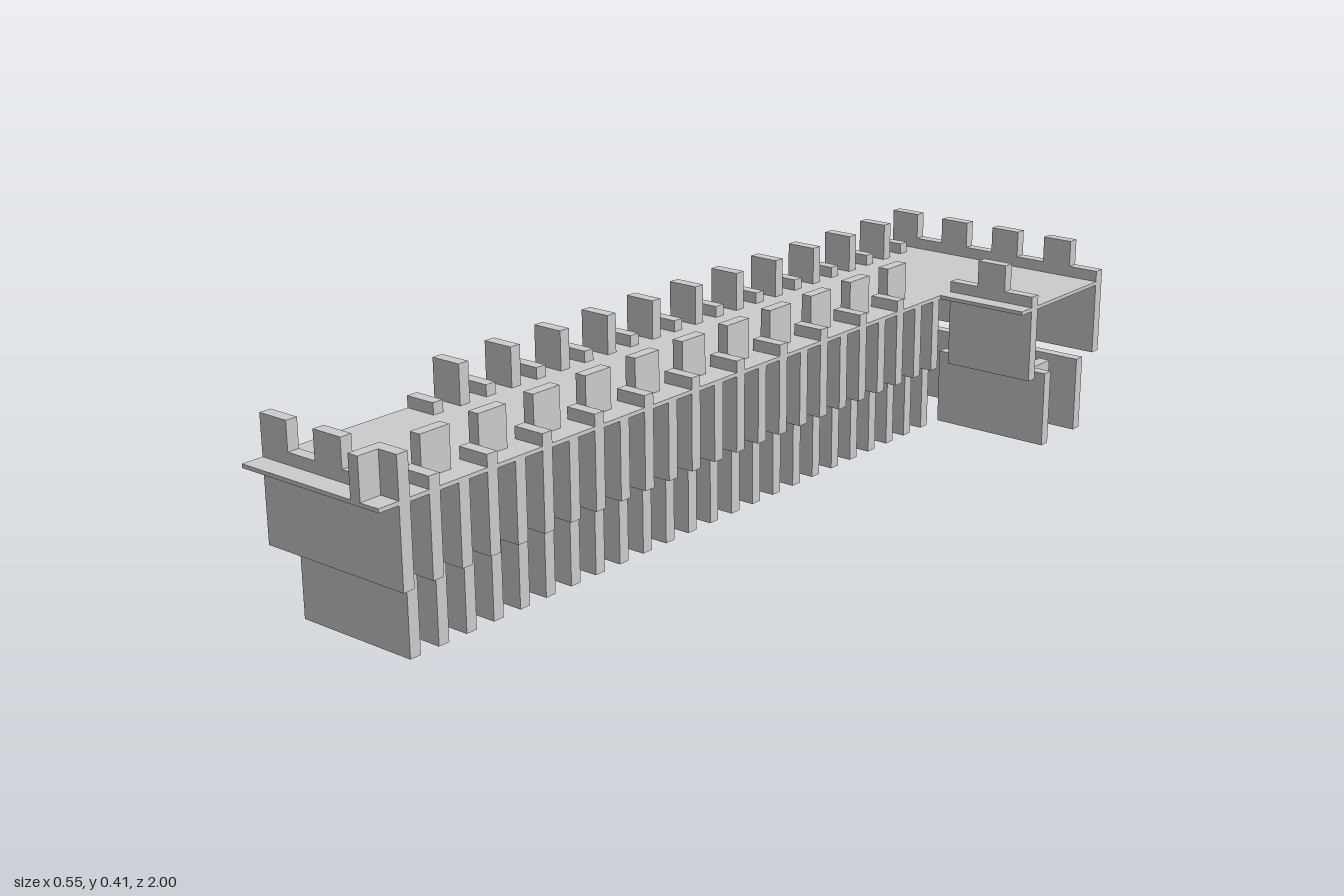
import * as THREE from 'three';

const U = 0.0692;          // width of one stone unit
const T = 0.025;           // slab thickness
const L = -0.277, R = 0.277, WALK = 0.068;
const MID = 0.167, DECK = 0.325, FLOOR = 0.333, LOW = 0.357, TOP = 0.415;
const slot = (k) => 0.873 - 0.0689 * k;   // z of the k-th slab along the wall

export function createModel() {
  const group = new THREE.Group();
  const mat = new THREE.MeshStandardMaterial({ color: 0xcccccc, flatShading: true });

  const add = (name, geo) => {
    const mesh = new THREE.Mesh(geo, mat);
    mesh.name = name;
    group.add(mesh);
    return mesh;
  };
  // box given by its limits
  const box = (name, x0, x1, y0, y1, z0, z1) =>
    add(name, new THREE.BoxGeometry(x1 - x0, y1 - y0, z1 - z0))
      .position.set((x0 + x1) / 2, (y0 + y1) / 2, (z0 + z1) / 2);
  // slab standing across the wall at slot k
  const slab = (name, x0, x1, y0, y1, k) =>
    box(name, x0, x1, y0, y1, slot(k) - T / 2, slot(k) + T / 2);
  // battlement panel, merlons given by their left edges
  const battlement = (name, x0, x1, merlons, k) => {
    const s = new THREE.Shape();
    s.moveTo(x0, MID);
    s.lineTo(x0, LOW);
    for (const m of merlons) {
      const end = Math.min(m + U, x1);
      s.lineTo(m, LOW);
      s.lineTo(m, TOP);
      s.lineTo(end, TOP);
      s.lineTo(end, LOW);
    }
    s.lineTo(x1, LOW);
    s.lineTo(x1, MID);
    add(name, new THREE.ExtrudeGeometry(s, { depth: T, bevelEnabled: false }))
      .position.z = slot(k) - T / 2;
  };

  // L-shaped walkway
  const deck = new THREE.Shape([[L, -1], [WALK, -1], [WALK, 0.66], [R, 0.66], [R, 1], [L, 1]]
    .map(([x, y]) => new THREE.Vector2(x, y)));
  const deckGeo = new THREE.ExtrudeGeometry(deck, { depth: FLOOR - DECK, bevelEnabled: false });
  deckGeo.rotateX(-Math.PI / 2);
  add('walkway', deckGeo).position.y = DECK;

  // end walls with battlements
  const merlons = [0, 2, 4, 6].map((i) => L + i * U);
  battlement('frontBattlement', L, WALK, merlons.slice(0, 3), -1);
  battlement('backBattlement', L, R, merlons, 27);
  battlement('wingBattlement', WALK, R, merlons.slice(3), 23);

  // lower end walls, set back under the battlements
  slab('frontLowerWall', L, 0, 0, MID, 0);
  slab('backLowerWall', L + U, R, 0, MID, 26);
  slab('wingLowerWall', 0, R, 0, MID, 24);

  // short return walls behind the lower walls
  box('frontReturnWall', L, L + T, 0, MID, slot(0) - T / 2 - U, slot(0) - T / 2);
  box('wingReturnWall', 0.207, 0.207 + T, 0, MID, slot(24) - T / 2 - U, slot(24) - T / 2);

  // right-hand row: upper slabs, every other one a low parapet
  for (let k = 0; k <= 22; k++) {
    const parapet = k % 2 === 0 && k <= 20;
    slab('rightUpperSlab', 0, WALK, MID, parapet ? LOW : DECK, k);
    if (parapet) {
      const z = slot(k) - T / 2;
      box('rightMerlon', 0, 0.024, FLOOR, TOP, z - U, z);
    }
  }
  box('rightCornerMerlon', 0, 0.024, FLOOR, TOP, slot(-1) + T / 2, 1);
  for (let k = 1; k <= 23; k++) slab('rightLowerSlab', -U, 0, 0, MID, k);

  // left-hand row: low and tall slabs alternate
  for (let k = 4; k <= 26; k++) slab('leftUpperSlab', L, L + U, MID, k % 2 ? TOP : LOW, k);
  for (let k = 3; k <= 25; k++) slab('leftLowerSlab', L + U, L + 2 * U, 0, MID, k);

  return group;
}
